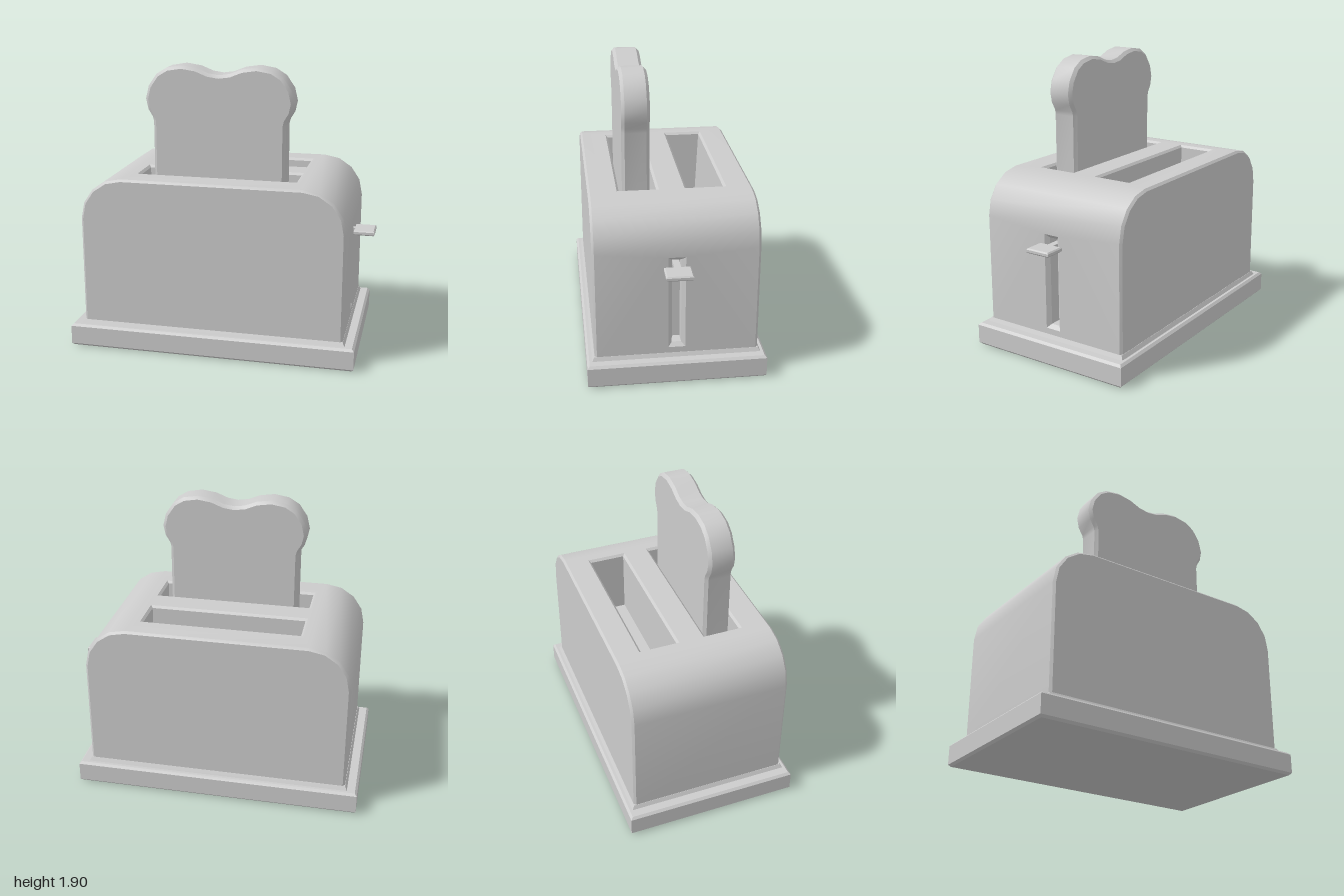
import * as THREE from 'three';
import { mergeGeometries, toCreasedNormals } from 'three/addons/utils/BufferGeometryUtils.js';

const material = new THREE.MeshStandardMaterial({ color: 0xcccccc });
const CX = -0.033; // middle of the body along x

function add(group, name, geometry, x = 0, y = 0, z = 0) {
  const mesh = new THREE.Mesh(geometry, material);
  mesh.name = name;
  mesh.position.set(x, y, z);
  group.add(mesh);
  return mesh;
}

const rect = (x0, x1, y0, y1) =>
  [[x0, y0], [x1, y0], [x1, y1], [x0, y1]].map(([x, y]) => new THREE.Vector2(x, y));

// Outline extruded to a total depth, centred on z = 0, with chamfered edges
function chamfered(points, depth, bevel) {
  const geometry = new THREE.ExtrudeGeometry(new THREE.Shape(points), {
    depth: depth - 2 * bevel, steps: 1, bevelSegments: 1,
    bevelThickness: bevel, bevelSize: bevel, bevelOffset: -bevel,
  });
  return geometry.translate(0, 0, bevel - depth / 2);
}

// Chamfered recess with a floor, sunk into the xy plane
function pocket([x0, x1, y0, y1], c, depth, lean) {
  const rings = [
    [rect(x0, x1, y0, y1), 0],
    [rect(x0 + c, x1 - c, y0 + c, y1 - c), -c],
    [rect(x0 + c, x1 - c, y0 + c, y1 - c - lean), -depth],
  ].map(([points, z]) => points.map((p) => [p.x, p.y, z]));
  const positions = [];
  const quad = (a, b, d, e) => positions.push(...a, ...b, ...d, ...a, ...d, ...e);
  for (let r = 0; r < 2; r++) {
    for (let i = 0; i < 4; i++) {
      const j = (i + 1) % 4;
      quad(rings[r][i], rings[r][j], rings[r + 1][j], rings[r + 1][i]);
    }
  }
  quad(...rings[2]);
  const geometry = new THREE.BufferGeometry();
  geometry.setAttribute('position', new THREE.Float32BufferAttribute(positions, 3));
  return geometry;
}

// Flat panel with recesses in it
function panel(bounds, holes, chamfer, depth, lean) {
  const shape = new THREE.Shape(rect(...bounds));
  shape.holes = holes.map((h) => new THREE.Path(rect(...h).reverse()));
  const face = new THREE.ShapeGeometry(shape).toNonIndexed();
  face.deleteAttribute('uv');
  face.deleteAttribute('normal');
  return mergeGeometries([face, ...holes.map((h) => pocket(h, chamfer, depth, lean))]);
}

function bodyGeometry() {
  const left = -0.915, right = 0.85, top = 1.18, bottom = 0.12, radius = 0.28;
  const depth = 1.06, bevel = 0.015, flat = depth / 2 - bevel;
  const points = [new THREE.Vector2(left, bottom), new THREE.Vector2(right, bottom)];
  for (const [cx, start] of [[right - radius, 0], [left + radius, Math.PI / 2]]) {
    for (let i = 0; i <= 4; i++) {
      const a = start + (i * Math.PI) / 8;
      points.push(new THREE.Vector2(cx + radius * Math.cos(a), top - radius + radius * Math.sin(a)));
    }
  }
  // Leave out the flat top and right faces, which get panels with recesses
  const p = chamfered(points, depth, bevel).getAttribute('position');
  const kept = [];
  for (let i = 0; i < p.count; i += 3) {
    const tri = [i, i + 1, i + 2];
    if (tri.every((k) => p.getY(k) > top - 1e-4) || tri.every((k) => p.getX(k) > right - 1e-4)) continue;
    tri.forEach((k) => kept.push(p.getX(k), p.getY(k), p.getZ(k)));
  }
  const shell = new THREE.BufferGeometry();
  shell.setAttribute('position', new THREE.Float32BufferAttribute(kept, 3));

  const topPanel = panel([left + radius, right - radius, -flat, flat],
    [[-0.575, 0.51, 0.09, 0.36], [-0.575, 0.51, -0.345, -0.075]], 0.015, 0.45, 0.02);
  topPanel.rotateX(-Math.PI / 2).translate(0, top, 0);

  const sidePanel = panel([-flat, flat, bottom, top - radius],
    [[-0.055, 0.055, 0.22, 0.86]], 0.025, 0.1, 0);
  sidePanel.rotateY(Math.PI / 2).translate(right, 0, 0);

  return toCreasedNormals(mergeGeometries([shell, topPanel, sidePanel]), 0.5);
}

function toastGeometry() {
  // Right half of the crown, from the middle dip down to the neck
  const half = [[0, 1.848], [0.07, 1.858], [0.15, 1.89], [0.25, 1.905], [0.35, 1.888], [0.42, 1.845],
    [0.475, 1.765], [0.495, 1.68], [0.48, 1.61], [0.45, 1.56], [0.443, 1.53], [0.443, 0.74]];
  const outline = [
    ...half.slice(1).reverse().map(([x, y]) => new THREE.Vector2(x, y)),
    ...half.map(([x, y]) => new THREE.Vector2(-x, y)),
  ];
  return toCreasedNormals(chamfered(outline, 0.18, 0.02), 0.6);
}

export function createModel() {
  const model = new THREE.Group();
  model.name = 'toaster';

  // Plinth with chamfered edges
  const base = chamfered(rect(-0.965, 0.965, -0.58, 0.58), 0.155, 0.015);
  add(model, 'base', base.rotateX(-Math.PI / 2), -0.035, 0.0775, 0);

  // Small sloping skirt where the body meets the plinth
  const skirt = new THREE.BoxGeometry(1.8, 0.03, 1.1).toNonIndexed();
  const p = skirt.getAttribute('position');
  for (let i = 0; i < p.count; i++) {
    if (p.getY(i) > 0) p.setXYZ(i, Math.sign(p.getX(i)) * 0.884, p.getY(i), Math.sign(p.getZ(i)) * 0.532);
  }
  skirt.computeVertexNormals();
  add(model, 'skirt', skirt, CX, 0.165, 0);

  // Rounded housing with two bread slots and a lever groove
  add(model, 'body', bodyGeometry());

  // Slice standing in the front slot
  add(model, 'toast', toastGeometry(), -0.026, 0, 0.213);

  // Lever plate and the stem running into the groove
  const lever = new THREE.Group();
  lever.name = 'lever';
  const plate = chamfered(rect(-0.07, 0.07, -0.086, 0.086), 0.032, 0.008);
  add(lever, 'leverPlate', plate.rotateX(-Math.PI / 2), 0.925, 0.785, 0);
  add(lever, 'leverStem', new THREE.BoxGeometry(0.14, 0.03, 0.044), 0.81, 0.785, 0);
  model.add(lever);

  return model;
}
